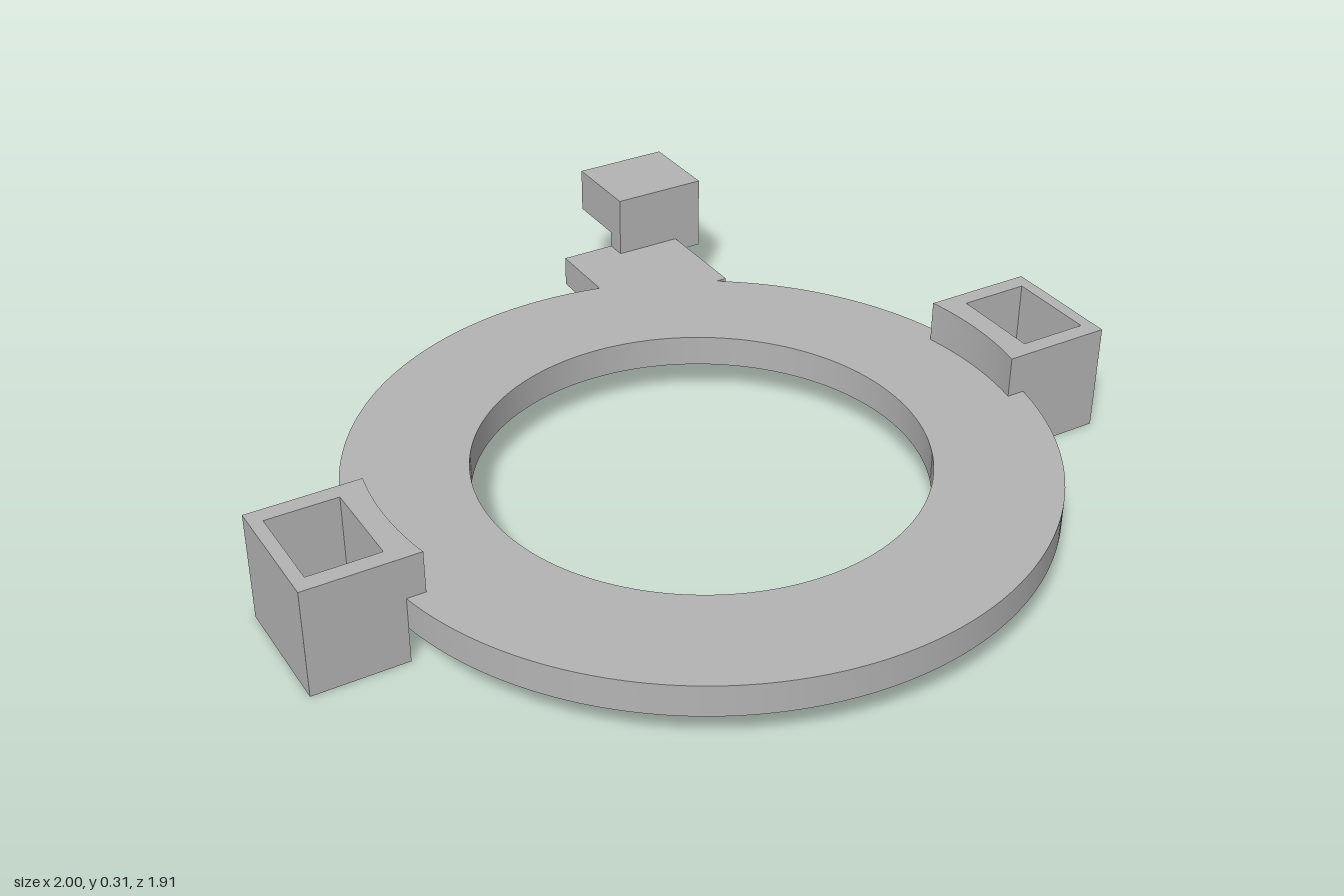
import * as THREE from 'three';
import { toCreasedNormals } from 'three/addons/utils/BufferGeometryUtils.js';

const CENTER_Z = 0.158; // ring axis
const R_OUT = 0.793, R_IN = 0.51, R_LIP = 0.75;
const RING_BOTTOM = 0.085, RING_TOP = 0.16;

export function createModel() {
  const grey = new THREE.MeshStandardMaterial({ color: 0xb4b4b4 });
  grey.name = 'grey';
  const model = new THREE.Group();
  model.name = 'ringMount';

  const add = (parent, name, geometry) => {
    const mesh = new THREE.Mesh(geometry, grey);
    mesh.name = name;
    parent.add(mesh);
    return mesh;
  };

  // Stand a plan outline (x, -z) up between two heights, curves smooth, edges sharp
  const slab = (shape, y0, y1, curveSegments) => {
    const g = new THREE.ExtrudeGeometry(shape, { depth: y1 - y0, bevelEnabled: false, curveSegments });
    g.rotateX(-Math.PI / 2).translate(0, y0, 0);
    return toCreasedNormals(g, 0.5);
  };

  const box = (x0, x1, y0, y1, z0, z1) =>
    new THREE.BoxGeometry(x1 - x0, y1 - y0, z1 - z0)
      .translate((x0 + x1) / 2, (y0 + y1) / 2, (z0 + z1) / 2);

  // Parts measured from the ring axis
  const body = new THREE.Group();
  body.name = 'body';
  body.position.z = CENTER_Z;
  model.add(body);

  // Flat ring with the rectangular tab in its outline
  const tabLeft = 0.17, tabRight = 0.47, tabNear = 0.5 + CENTER_Z, tabFar = 0.8 + CENTER_Z;
  const ring = new THREE.Shape();
  ring.absarc(0, 0, R_OUT, Math.acos(tabLeft / R_OUT), Math.asin(tabNear / R_OUT) + Math.PI * 2, false);
  ring.lineTo(tabRight, tabNear);
  ring.lineTo(tabRight, tabFar);
  ring.lineTo(tabLeft, tabFar);
  ring.closePath();
  ring.holes.push(new THREE.Path().absarc(0, 0, R_IN, 0, Math.PI * 2, true));
  add(body, 'ringWithTab', slab(ring, RING_BOTTOM, RING_TOP, 120));

  // Square socket outline whose inner side follows the ring
  const socketOutline = (radius) => {
    const half = 0.15, a = Math.asin(half / radius);
    const s = new THREE.Shape();
    s.moveTo(1, -half);
    s.lineTo(1, half);
    s.absarc(0, 0, radius, a, -a, true);
    s.closePath();
    const hole = new THREE.Path();
    hole.moveTo(0.803, -0.11);
    hole.lineTo(0.803, 0.11);
    hole.lineTo(0.97, 0.11);
    hole.lineTo(0.97, -0.11);
    hole.closePath();
    s.holes.push(hole);
    return s;
  };

  // Sockets on both sides: lower part meets the rim, upper part laps over it
  for (const [side, angle] of [['left', 0], ['right', Math.PI]]) {
    const socket = new THREE.Group();
    socket.name = side + 'Socket';
    socket.rotation.y = angle;
    add(socket, side + 'SocketBase', slab(socketOutline(R_OUT), 0, RING_TOP, 16));
    add(socket, side + 'SocketLip', slab(socketOutline(R_LIP), RING_TOP, 0.26, 16));
    body.add(socket);
  }

  // Raised hook at the back
  add(model, 'hookStem', box(0.305, 0.54, 0.125, 0.2, -0.8, -0.75));
  add(model, 'hookHead', box(0.305, 0.54, 0.2, 0.31, -0.955, -0.75));

  return model;
}
